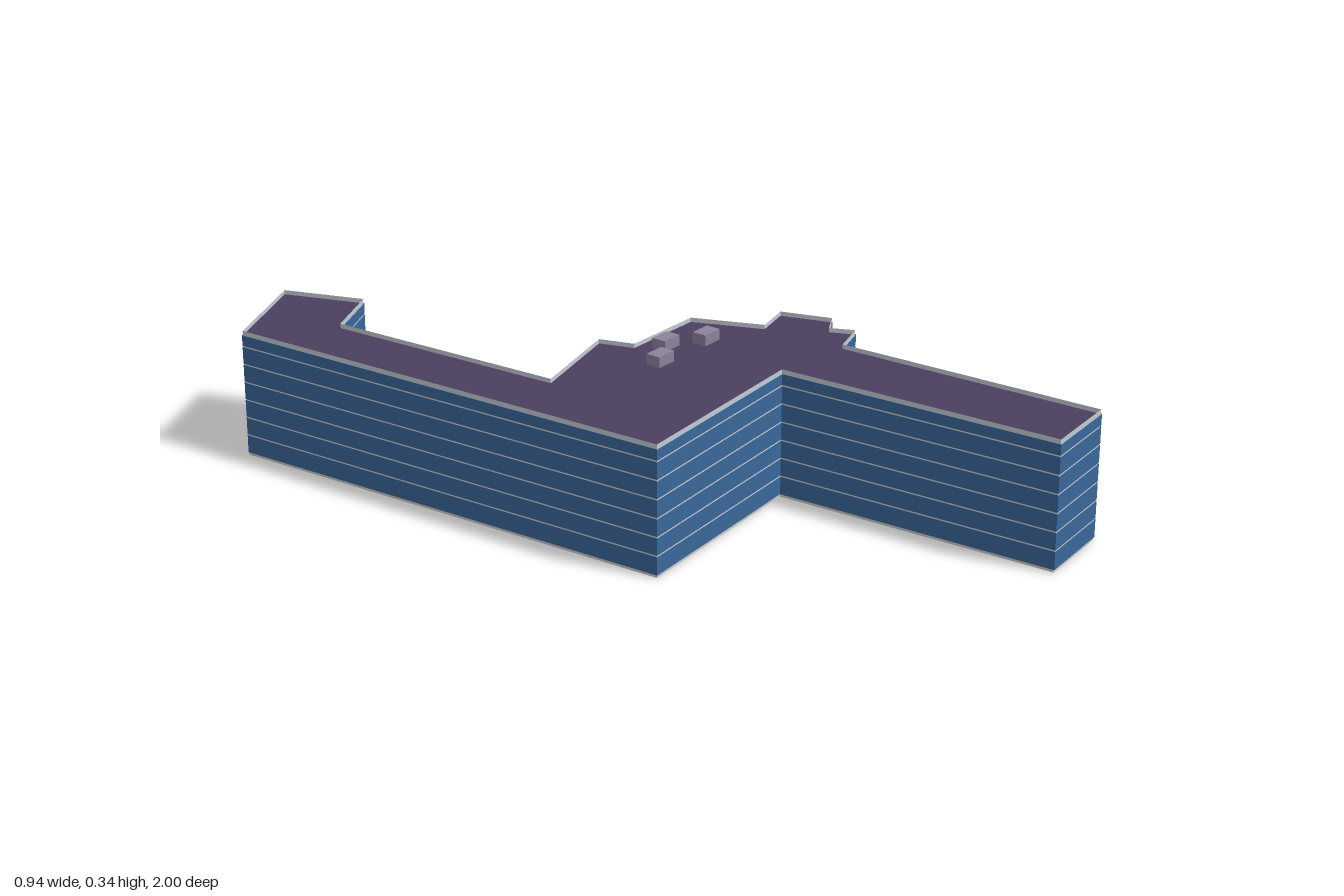
import * as THREE from 'three';

const mat = (name, color, side = THREE.DoubleSide) => {
  const m = new THREE.MeshStandardMaterial({ color, side });
  m.name = name;
  return m;
};

// Footprint corners (x, z), clockwise seen from above
const OUTLINE = [
  [-0.47, -0.88], [-0.205, -1], [-0.13, -0.8], [-0.288, -0.727], [-0.247, -0.108],
  [0.015, -0.178], [0.043, -0.093], [0.262, -0.093], [0.332, 0.076], [0.429, 0.053],
  [0.47, 0.18], [0.412, 0.212], [0.438, 0.27], [0.343, 0.3], [0.371, 0.982],
  [0.165, 1], [0.123, 0.28], [-0.4, 0.322],
];
const HEIGHT = 0.322, GLASS_BOTTOM = 0.007, GLASS_TOP = 0.311, GAP = 0.0035, INSET = 0.002;

// Footprint moved inward by a distance, with mitred corners
function insetOutline(distance) {
  const n = OUTLINE.length;
  const corner = (i) => new THREE.Vector2(...OUTLINE[(i + n) % n]);
  return OUTLINE.map((_, i) => {
    const p = corner(i);
    const d0 = p.clone().sub(corner(i - 1)).normalize();
    const d1 = corner(i + 1).sub(p).normalize();
    const n0 = new THREE.Vector2(-d0.y, d0.x), n1 = new THREE.Vector2(-d1.y, d1.x);
    const mitre = n0.clone().add(n1).multiplyScalar(distance / (1 + n0.dot(n1)));
    return p.add(mitre).toArray();
  });
}

// Vertical bands that follow an outline, each from y0 to y1
function wallBands(outline, bands) {
  const pos = [];
  for (const [y0, y1] of bands) {
    outline.forEach(([ax, az], i) => {
      const [bx, bz] = outline[(i + 1) % outline.length];
      const a0 = [ax, y0, az], a1 = [ax, y1, az], b0 = [bx, y0, bz], b1 = [bx, y1, bz];
      pos.push(...[a0, a1, b1, a0, b1, b0].flat());
    });
  }
  const g = new THREE.BufferGeometry();
  g.setAttribute('position', new THREE.Float32BufferAttribute(pos, 3));
  g.computeVertexNormals();
  return g;
}

export function createModel() {
  const group = new THREE.Group();
  group.name = 'building';
  const glass = mat('blue glass', 0x3a669a);
  const concrete = mat('pale concrete', 0xc5cbd3);
  const roofing = mat('purple roofing', 0x4b4060);
  const vent = mat('mauve vent', 0x8b839b, THREE.FrontSide);
  const add = (name, geometry, material) => {
    const m = new THREE.Mesh(geometry, material);
    m.name = name;
    group.add(m);
    return m;
  };

  // Concrete shell, open below, showing as plinth, floor lines and parapet
  const inner = insetOutline(INSET);
  add('concreteShell', wallBands(inner, [[0, HEIGHT]]), concrete);

  // Seven glazed storeys, slightly proud of the shell
  const storeys = [];
  let y = GLASS_BOTTOM;
  for (let i = 0; i < 6; i++) {
    const mid = 0.0535 + i * 0.0458;
    storeys.push([y, mid - GAP / 2]);
    y = mid + GAP / 2;
  }
  storeys.push([y, GLASS_TOP]);
  add('glazedStoreys', wallBands(OUTLINE, storeys), glass);

  // Flat roof, sunk behind the parapet
  const shape = new THREE.Shape(inner.map(([x, z]) => new THREE.Vector2(x, -z)));
  const roof = add('roof', new THREE.ShapeGeometry(shape).rotateX(-Math.PI / 2), roofing);
  roof.position.y = GLASS_TOP;

  // Rooftop vent boxes
  const ventHeight = 0.338 - GLASS_TOP;
  for (const [x, z] of [[0.005, 0.015], [0.093, -0.037], [0.182, 0.015]]) {
    const box = add('roofVent', new THREE.BoxGeometry(0.056, ventHeight, 0.038), vent);
    box.position.set(x, GLASS_TOP + ventHeight / 2, z);
  }
  return group;
}
